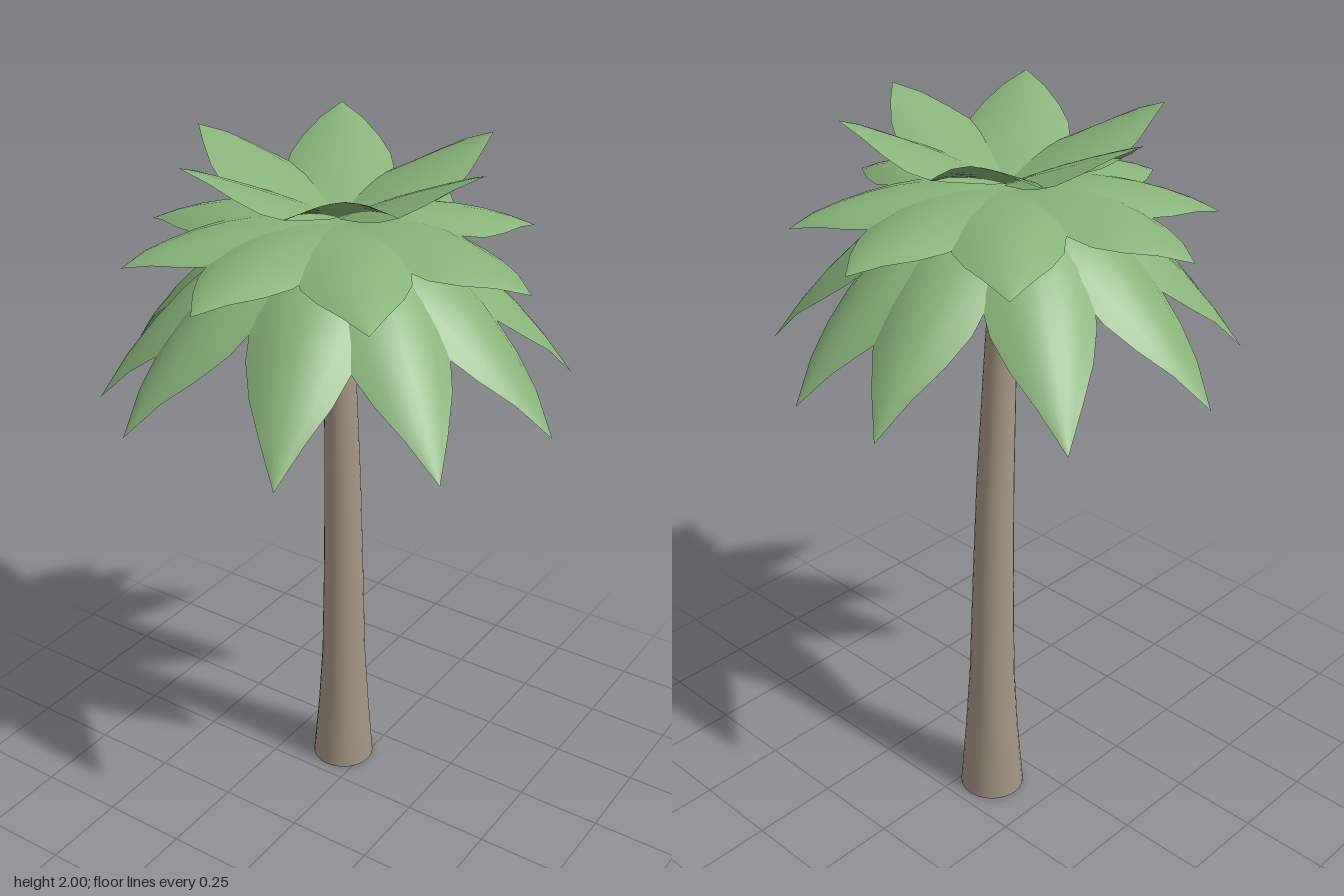
import * as THREE from 'three';

const bark = new THREE.MeshStandardMaterial({ color: 0xa99986, side: THREE.DoubleSide });
bark.name = 'bark';
const leafGreen = new THREE.MeshStandardMaterial({ color: 0x86b377, side: THREE.DoubleSide });
leafGreen.name = 'leafGreen';

// Half-widths of a leaf at even steps from base to tip
const LEAF_WIDTHS = [0, 0.068, 0.106, 0.131, 0.14, 0.132, 0.102, 0.056, 0];

// Trunk rings from bottom to top: x, y, z, radius
const TRUNK_RINGS = [
  [-0.073, 0, -0.124, 0.093],
  [-0.069, 0.2, -0.12, 0.077],
  [-0.065, 0.4, -0.114, 0.065],
  [-0.056, 0.7, -0.099, 0.058],
  [-0.045, 1.0, -0.078, 0.052],
  [-0.03, 1.35, -0.043, 0.044],
  [-0.02, 1.62, -0.014, 0.039],
  [-0.004, 1.79, 0.01, 0.053],
];

// Crown layers: leaf length, height curve (h + slope*r + bend*r^2),
// sag (how strongly the sides curl down towards the tip) and leaf directions in degrees
const LAYERS = [
  { name: 'lowerLeaves', length: 0.628, h: 1.81, slope: 0.08, bend: -1.243, sag: 6,
    angles: [-1, 34, 70, 114, 136.5, 173, 213, 256, 282, 322] },
  { name: 'middleLeaves', length: 0.552, h: 1.805, slope: 0.24, bend: -0.665, sag: 3.6,
    angles: [0, 49, 94, 132.5, 172, 225.5, 269, 306.5] },
  { name: 'topLeaves', length: 0.413, h: 1.82, slope: 0.52, bend: -0.2, sag: 3.2,
    angles: [0, 54, 122, 175.5, 237.5, 308] },
];

// Bent, tapering trunk, open at the ends: each row of a cylinder is moved to its ring
function trunkGeometry() {
  const rows = TRUNK_RINGS.length - 1;
  const geo = new THREE.CylinderGeometry(1, 1, 1, 24, rows, true);
  const p = geo.attributes.position;
  for (let i = 0; i < p.count; i++) {
    const [x, y, z, r] = TRUNK_RINGS[Math.round((p.getY(i) + 0.5) * rows)];
    p.setXYZ(i, x + p.getX(i) * r, y, z + p.getZ(i) * r);
  }
  return geo;
}

// Pointed leaf running along +x, arched lengthwise and across
function leafGeometry({ length, h, slope, bend, sag }) {
  const rows = LEAF_WIDTHS.length - 1;
  const geo = new THREE.PlaneGeometry(2, 1, 6, rows);
  const p = geo.attributes.position;
  for (let i = 0; i < p.count; i++) {
    const t = p.getY(i) + 0.5;
    const along = t * length;
    const side = p.getX(i) * LEAF_WIDTHS[Math.round(t * rows)];
    const ridge = h + slope * along + bend * along * along;
    p.setXYZ(i, along, ridge - sag * t * side * side, side);
  }
  geo.computeVertexNormals();
  return geo;
}

export function createModel() {
  const model = new THREE.Group();
  model.name = 'palmTree';

  const trunk = new THREE.Mesh(trunkGeometry(), bark);
  trunk.name = 'trunk';
  model.add(trunk);

  for (const layer of LAYERS) {
    const group = new THREE.Group();
    group.name = layer.name;
    group.position.z = 0.01;
    const geo = leafGeometry(layer);
    for (const angle of layer.angles) {
      const leaf = new THREE.Mesh(geo, leafGreen);
      leaf.name = 'leaf';
      leaf.rotation.y = -THREE.MathUtils.degToRad(angle);
      group.add(leaf);
    }
    model.add(group);
  }
  return model;
}
